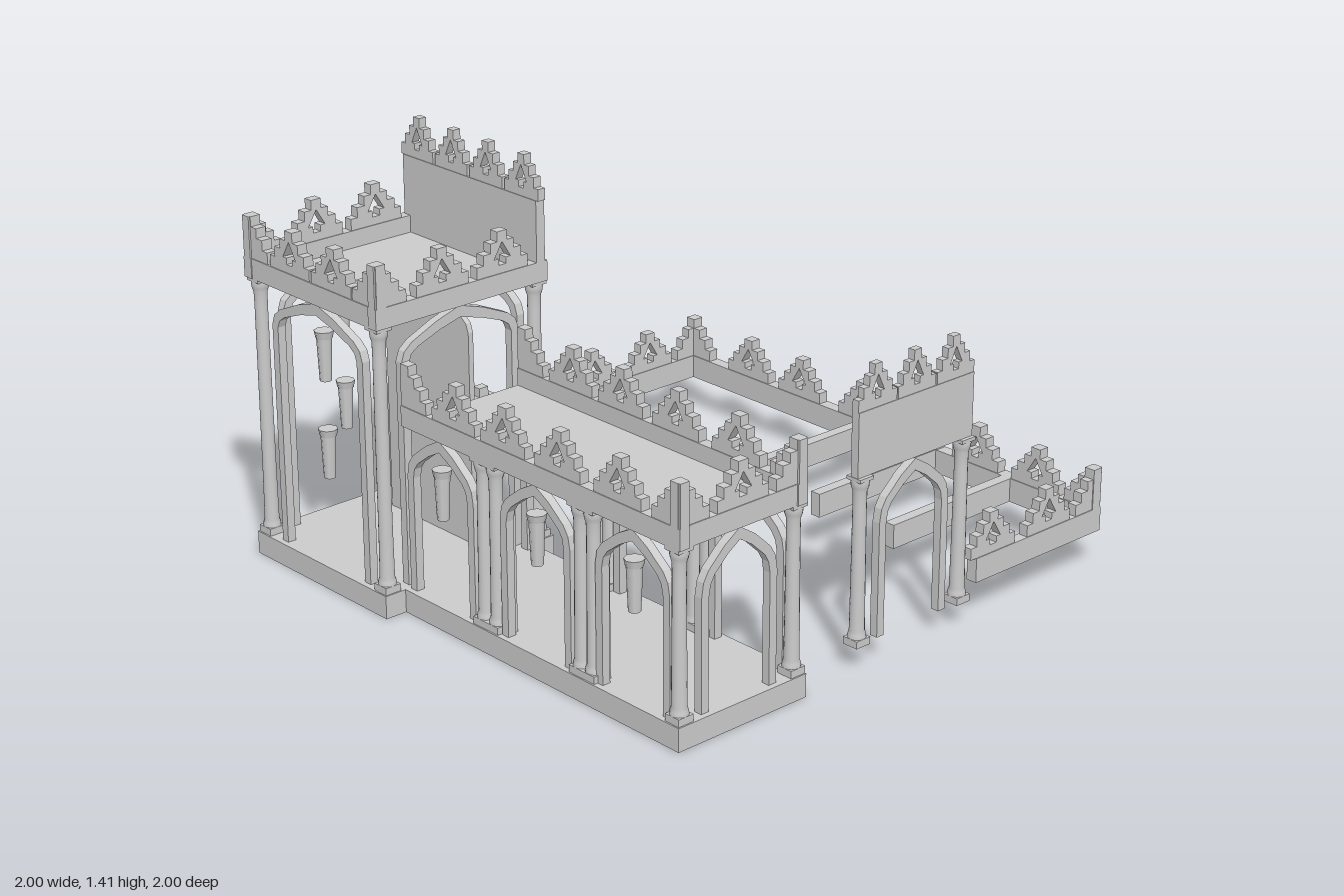
import * as THREE from 'three';

const grey = new THREE.MeshStandardMaterial({ color: 0xcccccc });
const thin = new THREE.MeshStandardMaterial({ color: 0xcccccc, side: THREE.DoubleSide });

export function createModel() {
  const model = new THREE.Group();

  function add(name, geometry, x = 0, y = 0, z = 0, parent = model, material = grey) {
    const mesh = new THREE.Mesh(geometry, material);
    mesh.name = name;
    mesh.position.set(x, y, z);
    parent.add(mesh);
    return mesh;
  }

  // Box given by its limits
  function block(name, x0, x1, y0, y1, z0, z1, parent = model) {
    return add(name, new THREE.BoxGeometry(x1 - x0, y1 - y0, z1 - z0),
      (x0 + x1) / 2, (y0 + y1) / 2, (z0 + z1) / 2, parent);
  }

  function extrude(shape, depth) {
    return new THREE.ExtrudeGeometry(shape, { depth, bevelEnabled: false, curveSegments: 8 })
      .translate(0, 0, -depth / 2);
  }

  const toShape = pts => new THREE.Shape(pts.map(p => new THREE.Vector2(...p)));

  // Stepped merlon with an arrow slit
  const steps = [[0.105, 0], [0.105, 0.04], [0.078, 0.04], [0.078, 0.075],
    [0.048, 0.075], [0.048, 0.108], [0.02, 0.108], [0.02, 0.142]];
  function merlon(k, depth) {
    const right = steps.map(([x, y]) => [x * k, y]);
    const left = right.map(([x, y]) => [-x, y]).reverse();
    const shape = toShape([...right, ...left]);
    const slit = [[-0.015, 0.028], [-0.015, 0.05], [-0.034, 0.05], [0, 0.106],
      [0.034, 0.05], [0.015, 0.05], [0.015, 0.028]];
    shape.holes.push(new THREE.Path(slit.map(([x, y]) => new THREE.Vector2(x * k, y))));
    return extrude(shape, depth);
  }

  // Half merlon rising at a corner, facing along dir
  function halfMerlon(dir, depth) {
    const pts = steps.map(([x, y]) => [(x + 0.02) * dir, y]);
    return extrude(toShape([[0, 0], ...pts, [0, 0.142]]), depth);
  }

  // Wall along x (or z) from a to b, with merlons at peaks and half merlons at chosen ends
  function wall(name, axis, a, b, across, y, height, thick, peaks, ends = [], k = 1) {
    const g = new THREE.Group();
    g.name = name;
    add('band', new THREE.BoxGeometry(b - a, height, thick), (a + b) / 2, y + height / 2, 0, g);
    for (const p of peaks) add('merlon', merlon(k, thick * 0.85), p, y + height, 0, g);
    for (const e of ends) add('cornerMerlon', halfMerlon(e === a ? 1 : -1, thick * 0.85), e, y + height, 0, g);
    if (axis === 'x') g.position.z = across;
    else {
      g.rotation.y = -Math.PI / 2;
      g.position.x = across;
    }
    model.add(g);
  }

  // Column with square plinth and abacus and a waisted round shaft
  function column(x, z, y0, y1) {
    const g = new THREE.Group();
    g.name = 'column';
    g.position.set(x, y0, z);
    const h = y1 - y0;
    block('plinth', -0.03, 0.03, 0, 0.025, -0.03, 0.03, g);
    block('abacus', -0.03, 0.03, h - 0.012, h, -0.03, 0.03, g);
    const profile = [[0.03, 0.025], [0.029, 0.038], [0.025, 0.05], [0.0235, 0.2], [0.022, h - 0.1],
      [0.023, h - 0.05], [0.028, h - 0.035], [0.03, h - 0.022], [0.029, h - 0.012]];
    add('shaft', new THREE.LatheGeometry(profile.map(p => new THREE.Vector2(...p)), 16), 0, 0, 0, g, thin);
    model.add(g);
  }

  // Outline of a pointed arch: half width, spring height, apex height
  function archLine(w, spring, apex, y0) {
    const rise = apex - spring;
    const half = [[w, y0], [w, spring], [w * 0.95, spring + rise * 0.26], [w * 0.82, spring + rise * 0.45],
      [w * 0.4, spring + rise * 0.78]];
    return [...half, [0, apex], ...half.map(([x, y]) => [-x, y]).reverse()];
  }

  function arch(x, z, w, spring, apex, turned = false) {
    const inner = archLine(w - 0.03, spring - 0.005, apex - 0.04, 0.08);
    const shape = toShape([...archLine(w, spring, apex, 0.08), ...inner.reverse()]);
    const mesh = add('pointedArch', extrude(shape, 0.03), x, 0, z);
    if (turned) mesh.rotation.y = Math.PI / 2;
  }

  // Wall torch: tapered body with a wider cap
  function torch(x, y, z) {
    const g = new THREE.Group();
    g.name = 'torch';
    g.position.set(x, y, z);
    add('handle', new THREE.CylinderGeometry(0.026, 0.02, 0.15, 8), 0, 0.075, 0, g);
    add('cap', new THREE.CylinderGeometry(0.033, 0.028, 0.025, 8), 0, 0.16, 0, g);
    model.add(g);
  }

  // Hollow floor slabs, open underneath
  function floorSlab(name, x0, x1, z0, z1) {
    const geo = new THREE.BoxGeometry(x1 - x0, 0.08, z1 - z0);
    geo.setIndex([...geo.index.array].filter((_, i) => i < 18 || i >= 24));
    geo.clearGroups();
    add(name, geo, (x0 + x1) / 2, 0.04, (z0 + z1) / 2, model, thin);
  }
  floorSlab('towerFloor', -1, -0.29, -1, -0.3);
  floorSlab('hallFloor', -0.92, -0.39, -0.3, 1);

  // Tower: columns, arches, roof and parapets
  for (const x of [-0.965, -0.33]) for (const z of [-0.965, -0.335]) column(x, z, 0.08, 0.99);
  for (const z of [-0.965, -0.335]) arch(-0.65, z, 0.24, 0.85, 0.985);
  for (const x of [-0.965, -0.33]) arch(x, -0.645, 0.24, 0.85, 0.985, true);
  block('towerRoof', -0.99, -0.32, 0.99, 1.0, -0.99, -0.31);
  wall('towerFrontParapet', 'x', -1, -0.3, -0.32, 0.99, 0.07, 0.04, [-0.73, -0.485], [-1]);
  wall('towerBackParapet', 'x', -1, -0.3, -0.98, 0.99, 0.07, 0.04, [-0.73, -0.485], [-1]);
  wall('towerLeftParapet', 'z', -1, -0.3, -0.975, 0.99, 0.07, 0.045, [-0.755, -0.535], [-1, -0.3]);
  wall('towerHighWall', 'z', -0.99, -0.3, -0.327, 0.99, 0.28, 0.035,
    [-0.915, -0.735, -0.555, -0.375], [], 0.8);

  // Tower inner panel with a half-round hearth
  const panel = toShape(archLine(0.22, 0.83, 0.945, 0.075));
  add('towerPanel', extrude(panel, 0.02), -0.525, 0, -0.645).rotation.y = Math.PI / 2;
  const hearth = new THREE.Group();
  hearth.name = 'hearth';
  hearth.position.set(-0.51, 0.435, -0.645);
  hearth.rotation.y = Math.PI / 2;
  add('hearthRing', new THREE.TorusGeometry(0.075, 0.024, 8, 16, Math.PI), 0, 0, 0, hearth, thin);
  add('hearthShelf', extrude(toShape([[-0.11, -0.035], [0.11, -0.035], [0.1, 0.005], [-0.1, 0.005]]), 0.04), 0, 0, 0, hearth);
  model.add(hearth);
  for (const y of [0.375, 0.715]) {
    torch(-0.65, y, -0.95);
    torch(-0.95, y, -0.645);
  }

  // Hall: columns, arches, roof and parapets
  for (const x of [-0.885, -0.42]) {
    for (const z of [0.965, 0.587, 0.53, 0.13, 0.07]) column(x, z, 0.08, 0.65);
    for (const z of [0.775, 0.33, -0.13]) arch(x, z, 0.165, 0.48, 0.645, true);
  }
  arch(-0.655, 0.965, 0.155, 0.46, 0.645);
  block('hallRoof', -0.91, -0.4, 0.65, 0.66, -0.3, 0.99);
  const hallPeaks = [-0.04, 0.2, 0.455, 0.725];
  wall('hallLeftParapet', 'z', -0.3, 1, -0.895, 0.65, 0.07, 0.04, hallPeaks, [-0.3, 1]);
  wall('hallRightParapet', 'z', -0.3, 1, -0.415, 0.65, 0.07, 0.04, hallPeaks, [-0.3, 1]);
  wall('hallFrontParapet', 'x', -0.915, -0.395, 0.975, 0.65, 0.07, 0.04, [-0.655], [-0.915, -0.395]);

  // Hall inner panels and torches along the left side
  for (const z of [0.54, 0.1]) block('hallPanel', -0.865, -0.85, 0.075, 0.48, z - 0.08, z + 0.08);
  for (const z of [0.775, 0.33, -0.13]) torch(-0.89, 0.375, z);

  // Free-standing gate
  for (const x of [-0.13, 0.327]) column(x, 0.96, 0.08, 0.65);
  arch(0.1, 0.96, 0.155, 0.47, 0.645);
  wall('gateTop', 'x', -0.158, 0.355, 0.962, 0.65, 0.215, 0.03, [-0.075, 0.098, 0.272], [], 0.8);

  // Yard walls and cross beams
  wall('yardBackWall', 'x', -0.3, 1, -0.97, 0.13, 0.085, 0.04, [-0.05, 0.215, 0.47, 0.74], [1]);
  wall('yardFrontWall', 'x', 0.39, 1, 0.965, 0.13, 0.085, 0.04, [0.47, 0.74], [1]);
  wall('yardRightWall', 'z', -0.99, 0.985, 0.977, 0.13, 0.085, 0.045,
    [-0.66, -0.395, -0.09, 0.18, 0.46, 0.73], [-0.99, 0.985]);
  for (const z of [-0.07, 0.262, 0.605]) block('yardBeam', 0.385, 0.96, 0.13, 0.215, z - 0.02, z + 0.02);

  return model;
}
